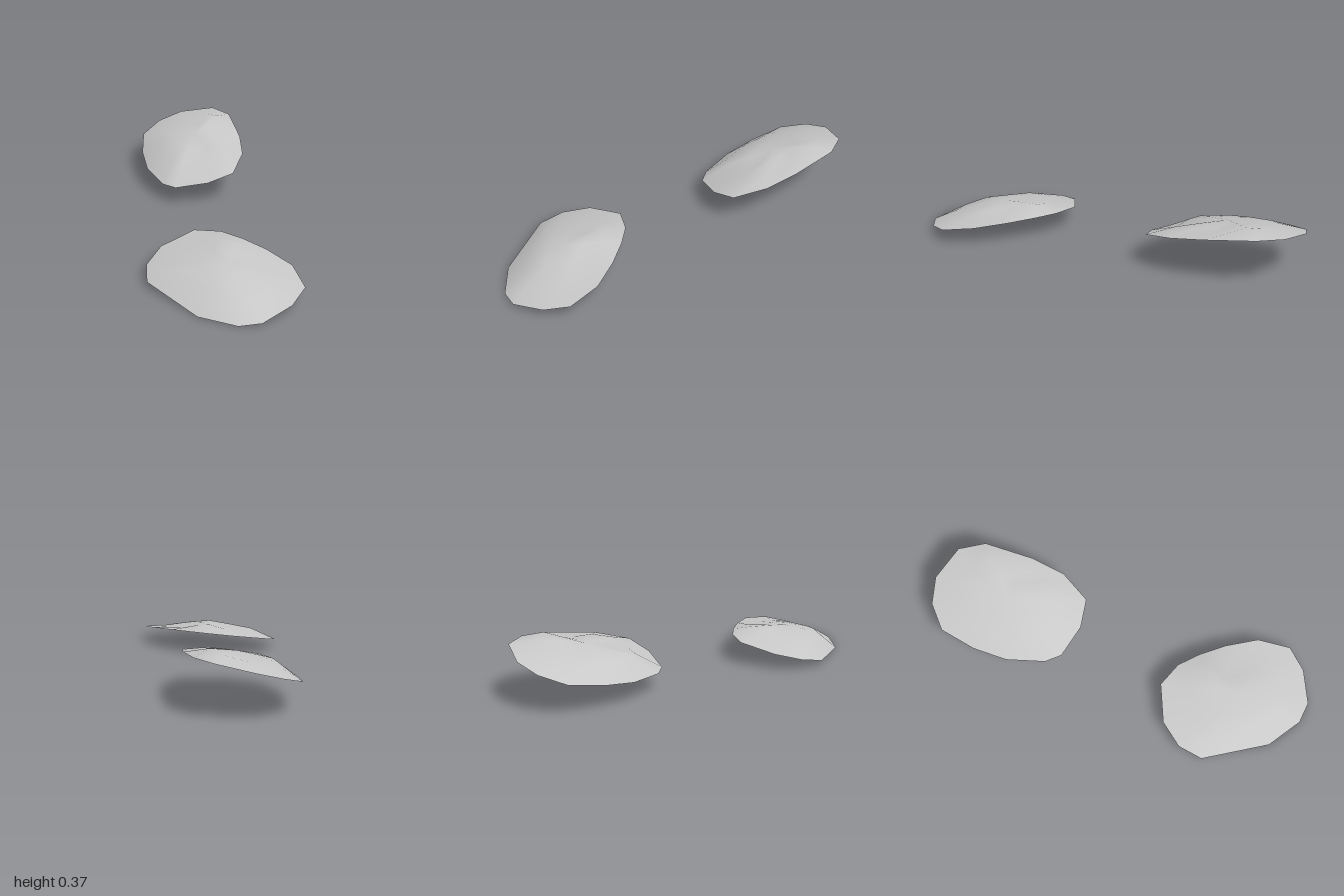
import * as THREE from 'three';

// Thin domed shell: a tilted rim, two inner rings with their own lifts, and a crown.
// rim rows are [x, z, lift of the inner ring above the rim plane].
function shell(name, material, { plane, centre, crown, rim }) {
  const [a, b, c] = plane;
  const [cx, cz] = centre;
  const n = rim.length;
  const pos = [];
  const add = (x, z, lift) => pos.push(x, Math.max(0, a + b * x + c * z + lift), z);

  const rings = [[1, 0, 0], [0.65, 1, 0], [0.33, 0.45, 0.55]]; // scale, own lift, crown lift
  for (const [s, own, top] of rings) {
    for (const [x, z, lift] of rim) {
      add(cx + (x - cx) * s, cz + (z - cz) * s, lift * own + crown * top);
    }
  }
  add(cx, cz, crown);

  const index = [];
  const apex = n * rings.length;
  for (let i = 0; i < n; i++) {
    const j = (i + 1) % n;
    for (let r = 0; r < rings.length - 1; r++) {
      const o = r * n, p = o + n;
      index.push(o + i, p + i, o + j, o + j, p + i, p + j);
    }
    index.push(apex, apex - n + j, apex - n + i);
  }

  const geometry = new THREE.BufferGeometry();
  geometry.setAttribute('position', new THREE.Float32BufferAttribute(pos, 3));
  geometry.setIndex(index);
  geometry.computeVertexNormals();
  const mesh = new THREE.Mesh(geometry, material);
  mesh.name = name;
  return mesh;
}

export function createModel() {
  const group = new THREE.Group();
  group.name = 'stoneShells';
  const grey = new THREE.MeshStandardMaterial({ color: 0xc8c8c8, side: THREE.DoubleSide });
  grey.name = 'stone grey';

  // Higher shell at the back
  group.add(shell('backShell', grey, {
    plane: [0.13, 0.0716, -0.279],
    centre: [-0.55, -0.52],
    crown: 0.08,
    rim: [
      [-0.71, -0.935, 0.05], [-0.54, -0.9, 0.066], [-0.3, -0.7, 0.02], [-0.16, -0.54, 0.04],
      [-0.09, -0.34, 0.045], [-0.19, -0.2, 0.035], [-0.37, -0.09, 0.06], [-0.48, -0.095, 0.075],
      [-0.7, -0.2, 0.075], [-0.86, -0.34, 0.065], [-1, -0.52, 0.05], [-0.995, -0.69, 0.045],
      [-0.91, -0.83, 0.045],
    ],
  }));

  // Lower shell at the front
  group.add(shell('frontShell', grey, {
    plane: [0.232, -0.0454, -0.215],
    centre: [0.53, 0.59],
    crown: 0.087,
    rim: [
      [0.12, 0.34, 0.04], [0.27, 0.27, 0.06], [0.42, 0.26, 0.048], [0.6, 0.27, 0.025],
      [0.81, 0.31, 0.02], [0.98, 0.43, 0.025], [1, 0.59, 0.038], [0.94, 0.79, 0.05],
      [0.84, 0.875, 0.06], [0.6, 0.93, 0.075], [0.17, 0.85, 0.06], [0.07, 0.73, 0.045],
      [0.04, 0.56, 0.04],
    ],
  }));

  return group;
}
